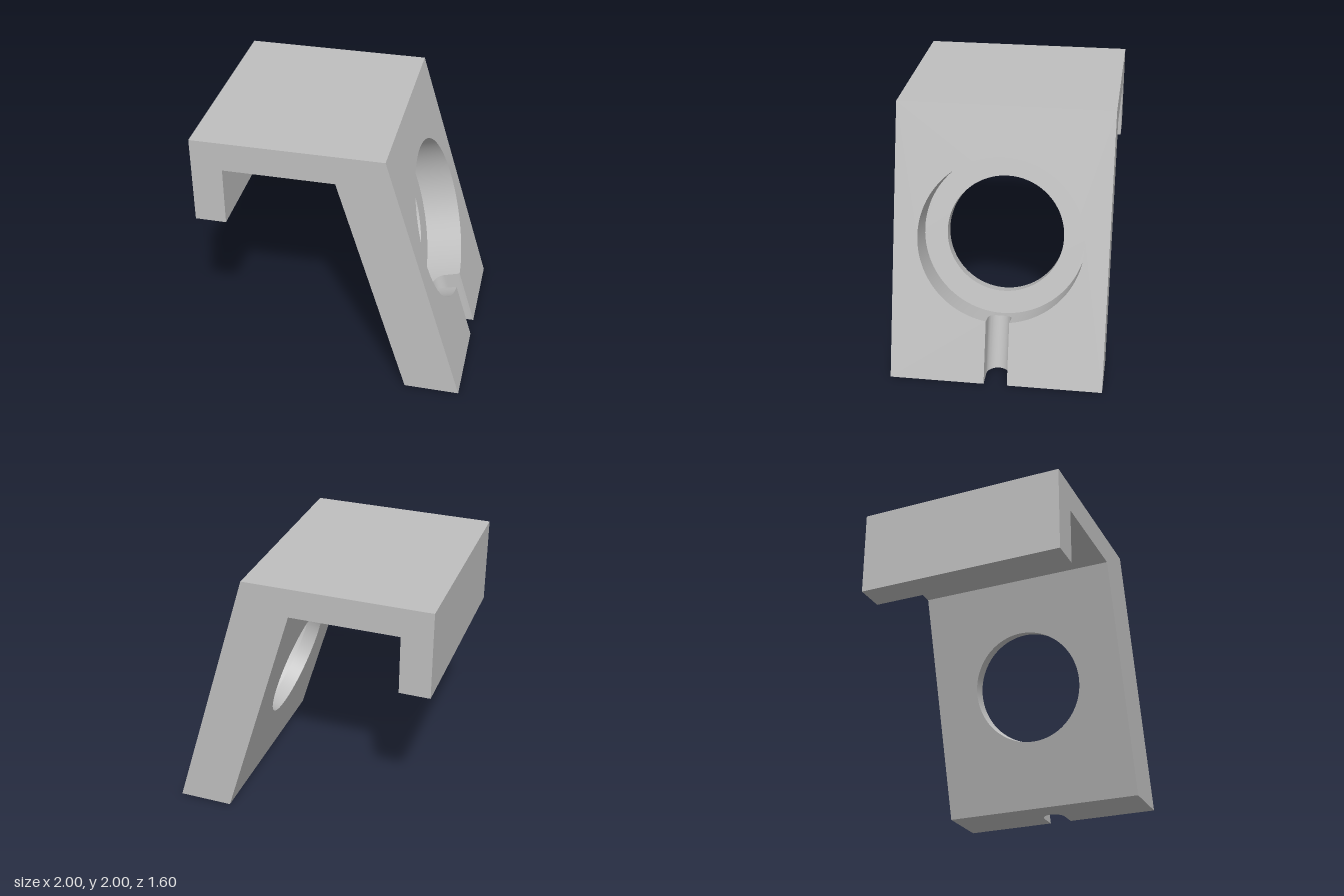
import * as THREE from 'three';
import { mergeGeometries, toCreasedNormals } from 'three/addons/utils/BufferGeometryUtils.js';

const W = 0.8;                       // half width of the bracket
const T = 0.4;                       // leg thickness, square to its face
const TOP = 2, UNDER = 1.78;         // top plate heights
const LEAN = 0.3, K = 1 / Math.hypot(1, LEAN);
const BORE = 0.62, HOLE = 0.445, FLOOR = 0.29, VC = 1.098;   // counterbore and through hole
const SLOT = 0.088, SLOT_C = 0.1275; // slot radius and depth of its round centre

// Leg coordinates: s across, v up the slope, d into the leg from its outer face
const leg = (s, v, d) => [1 - K * (LEAN * v + d), K * (v - LEAN * d), -s];

function bare(points) {
  const g = new THREE.BufferGeometry();
  g.setAttribute('position', new THREE.Float32BufferAttribute(points.flat(), 3));
  return g;
}

// Flat face from a 2D contour, placed in space by a rule
function face(contour, place, hole) {
  const shape = new THREE.Shape(contour.map(([a, b]) => new THREE.Vector2(a, b)));
  if (hole) shape.holes.push(new THREE.Path(hole.map(([a, b]) => new THREE.Vector2(a, b))));
  const p = new THREE.ShapeGeometry(shape).toNonIndexed().attributes.position;
  const out = [];
  for (let i = 0; i < p.count; i++) out.push(place(p.getX(i), p.getY(i)));
  return bare(out);
}

// Wall between two rows of points
function strip(A, B) {
  const out = [];
  for (let i = 0; i < A.length - 1; i++) {
    out.push(A[i], A[i + 1], B[i + 1], A[i], B[i + 1], B[i]);
  }
  return bare(out);
}

function arc(r, from, to, n) {
  return Array.from({ length: n + 1 }, (_, i) => {
    const t = from + (to - from) * i / n;
    return [r * Math.cos(t), VC + r * Math.sin(t)];
  });
}

export function createModel() {
  const group = new THREE.Group();
  const grey = new THREE.MeshStandardMaterial({ color: 0xbfbfbf, side: THREE.DoubleSide });
  grey.name = 'grey';
  const add = (name, parts) => {
    const mesh = new THREE.Mesh(toCreasedNormals(mergeGeometries(parts), 0.5), grey);
    mesh.name = name;
    group.add(mesh);
  };

  // Frame: side faces, top plate and hanging lip
  const footX = 1 - T / K;
  const profile = [[-1, TOP], [-1, 1.335], [-0.77, 1.335], [-0.77, UNDER],
    [footX - LEAN * UNDER, UNDER], [footX, 0], [1, 0], [1 - LEAN * TOP, TOP]];
  const frame = [
    face(profile, (x, y) => [x, y, W]),
    face(profile.map(([x, y]) => [-x, y]), (x, y) => [-x, y, -W]),
  ];
  for (const i of [0, 1, 2, 3, 7]) {
    const ends = [profile[i], profile[(i + 1) % 8]];
    frame.push(strip(ends.map(([x, y]) => [x, y, -W]), ends.map(([x, y]) => [x, y, W])));
  }
  add('frame', frame);

  // Slot cross-section (s, d) and the bore edge left open above it
  const slot = [[-SLOT, 0]];
  for (let i = 0; i <= 24; i++) {
    const t = Math.PI * i / 24;
    slot.push([-SLOT * Math.cos(t), SLOT_C + SLOT * Math.sin(t)]);
  }
  slot.push([SLOT, 0]);
  const boreBottom = s => VC - Math.sqrt(BORE * BORE - s * s);
  const half = Math.asin(SLOT / BORE);
  const boreEdge = arc(BORE, -Math.PI / 2 + half, 1.5 * Math.PI - half, 96);
  const boreRing = arc(BORE, 0, 2 * Math.PI, 96);
  const holeRing = arc(HOLE, 0, 2 * Math.PI, 96);

  // Leg: outer face with keyhole opening, inner face, foot
  const low = LEAN * T;
  add('slantedLeg', [
    face([[-W, 0], [-SLOT, 0], ...[...boreEdge].reverse(), [SLOT, 0], [W, 0], [W, TOP / K], [-W, TOP / K]],
      (s, v) => leg(s, v, 0)),
    face([[-W, low], [W, low], [W, UNDER / K + low], [-W, UNDER / K + low]],
      (s, v) => leg(-s, v, T), holeRing.slice(0, -1)),
    face([[-W, 0], ...slot, [W, 0], [W, T], [-W, T]], (s, d) => leg(-s, LEAN * d, d)),
  ]);

  // Counterbore wall (opened by the slot) with its floor ring
  const wall = [...boreEdge.map(([s, v]) => [s, v, 0]), ...slot.map(([s, d]) => [s, boreBottom(s), d])];
  add('counterbore', [
    strip(wall.map(([s, v, d]) => leg(s, v, d)), wall.map(([s, v]) => leg(s, v, FLOOR))),
    face(boreRing.slice(0, -1), (s, v) => leg(s, v, FLOOR), holeRing.slice(0, -1)),
  ]);

  // Through hole
  add('throughHole', [
    strip(holeRing.map(([s, v]) => leg(s, v, FLOOR)), holeRing.map(([s, v]) => leg(s, v, T))),
  ]);

  // Round-backed slot from the foot up to the counterbore
  add('slot', [
    strip(slot.map(([s, d]) => leg(s, LEAN * d, d)), slot.map(([s, d]) => leg(s, boreBottom(s), d))),
  ]);

  return group;
}
